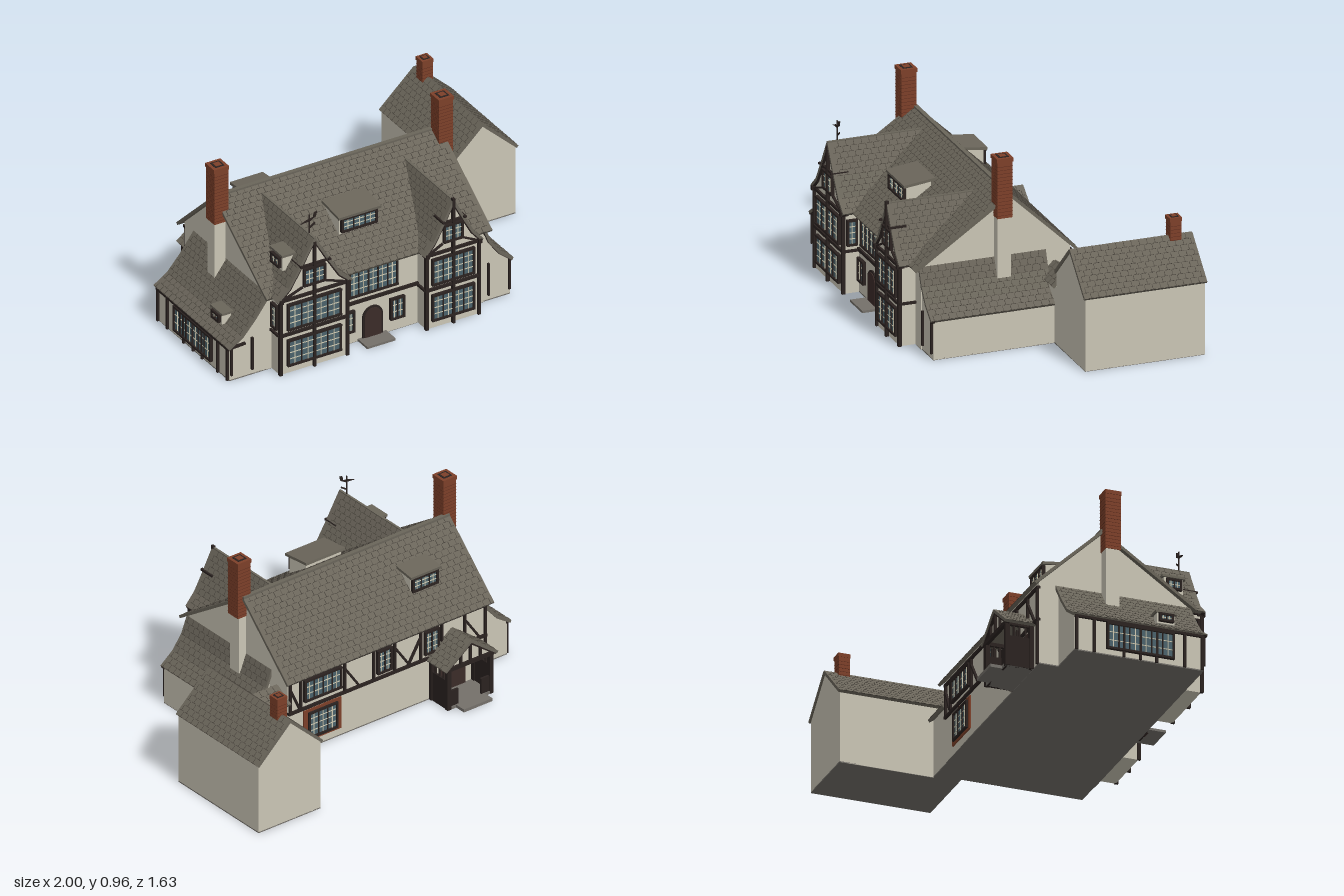
import * as THREE from 'three';
import { mergeGeometries } from 'three/addons/utils/BufferGeometryUtils.js';

const paint = (name, color) => { const m = new THREE.MeshStandardMaterial({ color }); m.name = name; return m; };

export function createModel() {
  const plaster = paint('plaster', 0xcac5b5), tile = paint('roof tile', 0x6a655a), joint = paint('tile joint', 0x4b463e);
  const timber = paint('dark timber', 0x2a2220), glass = paint('glass', 0x4a626b), bar = paint('glazing bar', 0xcdc8b0);
  const brick = paint('brick', 0x7d4029), brickDark = paint('dark brick', 0x5e2d1e), oak = paint('door oak', 0x3b2b28);
  const stone = paint('stone', 0x74706a);

  const house = new THREE.Group();
  house.name = 'house';
  house.rotation.y = 0.166;

  const add = (name, geo, mat, parent = house) => {
    const m = new THREE.Mesh(geo, mat);
    m.name = name;
    parent.add(m);
    return m;
  };
  const box = (name, mat, [x, y, z], [sx, sy, sz], parent = house) => {
    const m = add(name, new THREE.BoxGeometry(sx, sy, sz), mat, parent);
    m.position.set(x, y, z);
    return m;
  };
  // Extrude a section along z, or along x when axis is 'x' (section is then z,y)
  const orient = (geo, axis) => axis === 'x' ? geo.rotateY(Math.PI / 2) : geo;
  const prism = (pts, a, b, axis) => {
    const s = new THREE.Shape(pts.map(([p, y]) => new THREE.Vector2(axis === 'x' ? -p : p, y)));
    return orient(new THREE.ExtrudeGeometry(s, { depth: b - a, bevelEnabled: false }).translate(0, 0, a), axis);
  };

  // One roof slope, ridge to eave, with thin staggered lines between the tiles
  const slope = (name, pts, a, b, axis) => {
    const flip = axis === 'x' ? -1 : 1;
    const top = [], bottom = [], joints = [];
    let row = 0;
    for (let i = 0; i < pts.length - 1; i++) {
      const [x0, y0] = pts[i], [x1, y1] = pts[i + 1];
      const len = Math.hypot(x1 - x0, y1 - y0), dx = (x1 - x0) / len, dy = (y1 - y0) / len;
      const s = Math.sign(dx) || 1, nx = -dy * s, ny = dx * s;
      const n = Math.max(1, Math.round(len / 0.03)), step = len / n;
      const line = (d, length, width, t) => joints.push(orient(new THREE.BoxGeometry(length, 0.003, width)
        .rotateZ(Math.atan2(dy, dx * flip))
        .translate((x0 + dx * d + nx * 0.006) * flip, y0 + dy * d + ny * 0.006, t), axis));
      for (let k = 0; k < n; k++, row++) {
        for (let t = a + (row % 2 ? 0.02 : 0.04); t < b - 0.015; t += 0.04) {
          line((k + 0.5) * step, step, 0.0025, t);
          line((k + 0.96) * step, 0.003, 0.028, t);
        }
      }
      for (const [px, py] of i === pts.length - 2 ? [pts[i], pts[i + 1]] : [pts[i]]) {
        top.push([px + nx * 0.0065, py + ny * 0.0065]);
        bottom.push([px - nx * 0.008, py - ny * 0.008]);
      }
    }
    add(name, prism([...top, ...bottom.reverse()], a, b, axis), tile);
    add(name + ' joints', mergeGeometries(joints), joint);
  };

  // A wall plane on which timbers and windows are laid out in local x,y
  const face = (name, x, z, rot = 0) => {
    const g = new THREE.Group();
    g.name = name;
    g.position.set(x, 0, z);
    g.rotation.y = rot;
    house.add(g);
    return g;
  };
  const beam = (f, x0, y0, x1, y1, t = 0.012) => {
    const m = box('beam', timber, [(x0 + x1) / 2, (y0 + y1) / 2, 0.003], [Math.hypot(x1 - x0, y1 - y0), t, 0.018], f);
    m.rotation.z = Math.atan2(y1 - y0, x1 - x0);
  };
  const path = (f, pts, t) => pts.slice(1).forEach((p, i) => beam(f, ...pts[i], ...p, t));
  const windowAt = (f, x, y, w, h, lights = 2, rows = 3) => {
    const g = new THREE.Group();
    g.name = 'window';
    g.position.set(x, y, 0.004);
    f.add(g);
    box('pane', glass, [0, 0, 0], [w, h, 0.008], g);
    for (let i = 1; i < lights * 2; i++) {
      const main = i % 2 === 0;
      box('upright', main ? timber : bar, [-w / 2 + i * w / lights / 2, 0, 0.004], [main ? 0.006 : 0.004, h, main ? 0.012 : 0.006], g);
    }
    for (let i = 1; i < rows; i++) box('glazing bar', bar, [0, -h / 2 + i * h / rows, 0.004], [w, 0.004, 0.005], g);
    for (const s of [-1, 1]) {
      box('jamb', timber, [s * w / 2, 0, 0.003], [0.011, h + 0.011, 0.018], g);
      box('rail', timber, [0, s * h / 2, 0.003], [w + 0.011, 0.011, 0.02], g);
    }
  };

  // Main range
  add('main walls', prism([[0.6, 0], [0.6, 0.43], [0.15, 0.745], [-0.17, 0.44], [-0.17, 0]], -0.775, 0.445, 'x'), plaster);
  slope('front roof', [[0.15, 0.746], [0.64, 0.415]], -0.8, 0.47, 'x');
  slope('back roof', [[0.15, 0.746], [-0.2, 0.415]], -0.8, 0.47, 'x');
  box('ridge tiles', tile, [-0.165, 0.75, 0.15], [1.27, 0.012, 0.022]);

  // Dark undersides of the floors
  for (const [x0, x1, z0, z1] of [[-0.775, 0.445, -0.17, 0.6], [0.44, 0.597, -0.03, 0.597], [-0.985, -0.77, -0.07, 0.6],
    [0.625, 1.005, -0.65, -0.03], [0.44, 0.63, -0.165, -0.03]]) {
    box('floor underside', stone, [(x0 + x1) / 2, 0.001, (z0 + z1) / 2], [x1 - x0, 0.006, z1 - z0]);
  }

  // Front gabled bays
  const bay = (c, hw, apex, prof, wallHalf, attic, sideWindows) => {
    const wall = prof.filter(([p]) => p < wallHalf);
    const half = [...wall, [wallHalf, 0.43]];
    const outline = [[-wallHalf, 0], [wallHalf, 0], ...half.slice().reverse(), ...half.slice(1).map(([p, y]) => [-p, y])];
    add('bay walls', prism(outline.map(([p, y]) => [c + p, y - (y > 0.43 ? 0.003 : 0)]), 0.35, 0.68), plaster);
    const f = face('bay front', c, 0.68);
    for (const s of [-1, 1]) {
      slope('bay roof', prof.map(([p, y]) => [c + s * p, y]), apex, 0.693);
      path(f, prof.map(([p, y]) => [s * p * 0.98, y - 0.007]), 0.015);
      beam(f, s * wallHalf, 0, s * wallHalf, 0.43, 0.016);
      beam(f, s * (attic / 2 + 0.008), 0.46, s * wallHalf * 0.9, 0.422, 0.008);
      const side = face('bay side', c + s * wallHalf, 0.64, s * Math.PI / 2);
      if (sideWindows) windowAt(side, 0, 0.315, 0.045, 0.125, 1, 4);
      for (const y of [0.22, 0.415]) beam(side, -0.045, y, 0.045, y);
      box('eave corbel', timber, [c + s * wallHalf, 0.415, 0.68], [0.02, 0.022, 0.04]);
      box('purlin end', timber, [c + s * prof[1][0] * 0.92, 0.583, 0.66], [0.014, 0.01, 0.09]);
    }
    for (const y of [0.22, 0.415]) beam(f, -wallHalf, y, wallHalf, y, 0.015);
    beam(f, -prof[1][0] * 0.85, 0.575, prof[1][0] * 0.85, 0.575, 0.01);
    const w = wallHalf * 1.56;
    windowAt(f, 0, 0.115, w, 0.138, 4, 4);
    windowAt(f, 0, 0.315, w, 0.138, 4, 4);
    windowAt(f, 0, 0.512, attic, 0.09, 2, 3);
    box('centre post', timber, [0, 0.35, 0.01], [0.014, 0.7, 0.018], f);
    box('bay ridge', tile, [c, prof[0][1] + 0.003, (apex + 0.693) / 2], [0.012, 0.01, 0.693 - apex]);
  };
  bay(-0.56, 0.21, 0.2, [[0, 0.715], [0.085, 0.57], [0.145, 0.475], [0.21, 0.418]], 0.188, 0.115, true);
  bay(0.222, 0.165, 0.24, [[0, 0.685], [0.065, 0.56], [0.11, 0.48], [0.164, 0.418]], 0.147, 0.1, false);

  // Entrance front
  const front = face('entrance front', 0, 0.6);
  windowAt(front, -0.182, 0.335, 0.27, 0.145, 5, 4);
  for (const x of [-0.325, -0.045]) windowAt(front, x, 0.125, 0.07, 0.11, 2, 3);
  beam(front, -0.37, 0.225, 0.08, 0.225, 0.016);
  beam(front, -0.37, 0.412, 0.08, 0.412, 0.012);
  const arch = (r, h) => {
    const s = new THREE.Shape();
    s.moveTo(-r, 0).lineTo(r, 0).lineTo(r, h).absarc(0, h, r, 0, Math.PI, false);
    return new THREE.ExtrudeGeometry(s, { depth: 0.008, bevelEnabled: false, curveSegments: 10 });
  };
  add('door surround', arch(0.057, 0.122), timber, front).position.set(-0.183, 0, 0.002);
  add('front door', arch(0.047, 0.122), oak, front).position.set(-0.183, 0, 0.006);
  box('front step', stone, [-0.183, 0.006, 0.645], [0.16, 0.012, 0.09]);

  // Side wings with sweeping roofs
  const wing = (pts, inner, outer, z0, z1) => {
    const s = Math.sign(outer), last = pts[pts.length - 1];
    add('wing walls', prism([[inner, 0], [outer, 0], [outer, last[1] + 0.002],
      ...pts.slice(1, -1).reverse(), [inner, pts[0][1]]].map(([x, y]) => [x, y - (y ? 0.004 : 0)]), z0 + 0.015, z1 - 0.015), plaster);
    slope('wing roof', pts, z0, z1);
    const f = face('wing front', 0, z1 - 0.015);
    path(f, pts.map(([x, y]) => [x, y - 0.006]), 0.012);
    for (const [x, y, h] of [[outer - s * 0.008, 0.03, 0.2], [outer - s * 0.125, 0.03, 0.21]]) beam(f, x, y, x, h, 0.01);
    return f;
  };
  wing([[0.44, 0.425], [0.475, 0.335], [0.53, 0.26], [0.604, 0.2]], 0.42, 0.597, -0.045, 0.612);
  const westFront = wing([[-0.765, 0.43], [-0.85, 0.315], [-0.92, 0.235], [-0.997, 0.185]], -0.75, -0.985, -0.085, 0.615);
  beam(westFront, -0.985, 0.185, -0.9, 0.19, 0.012);
  const west = face('left wing side', -0.985, 0, -Math.PI / 2);
  windowAt(west, 0.27, 0.1, 0.34, 0.13, 6, 3);
  beam(west, -0.07, 0.178, 0.6, 0.178);
  for (const x of [-0.06, 0.03, 0.185, 0.27, 0.355, 0.5, 0.59]) beam(west, x, 0, x, 0.178);

  // Dormers
  const dormer = (x, z0, z1, w, y0, y1, rot) => {
    const back = rot !== 0, d = Math.abs(z1 - z0), zc = (z0 + z1) / 2;
    box('dormer walls', plaster, [x, (y0 + y1) / 2, zc], [w * 0.9, y1 - y0, d * 0.94]);
    const r = box('dormer roof', tile, [x, y1 + 0.006, zc], [w, 0.014, d + 0.03]);
    r.rotation.x = back ? -0.12 : 0.12;
    windowAt(face('dormer front', x, back ? z0 + d * 0.03 : z1 - d * 0.03, rot), 0, (y0 + y1) / 2 + 0.002, w * 0.8, (y1 - y0) * 0.68, 3, 3);
  };
  dormer(-0.182, 0.34, 0.475, 0.24, 0.54, 0.642, 0);
  dormer(-0.485, -0.058, 0.046, 0.185, 0.54, 0.64, Math.PI);
  const sideDormer = (x, y, z, w, h, d) => {
    box('side dormer', plaster, [x, y, z], [w, h, d]);
    box('side dormer roof', tile, [x, y + h / 2, z], [w + 0.015, 0.012, d + 0.02]);
    windowAt(face('side dormer front', x - w / 2, z, -Math.PI / 2), 0, y, d * 0.7, h * 0.55, 2, 2);
  };
  sideDormer(-0.66, 0.575, 0.56, 0.065, 0.085, 0.1);
  sideDormer(-0.92, 0.265, 0.42, 0.05, 0.06, 0.09);

  // Chimneys
  const chimney = (x, z, y0, y1, s) => {
    const g = new THREE.Group();
    g.name = 'chimney';
    g.position.set(x, 0, z);
    house.add(g);
    box('shaft', brick, [0, (y0 + y1) / 2, 0], [s, y1 - y0, s], g);
    for (let y = y0 + 0.015; y < y1 - 0.03; y += 0.018) box('brick course', brickDark, [0, y, 0], [s + 0.002, 0.002, s + 0.002], g);
    box('cap', brick, [0, y1 - 0.01, 0], [s * 1.08, 0.02, s * 1.08], g);
    box('flue', timber, [0, y1, 0], [s * 0.66, 0.004, s * 0.66], g);
    box('flue pot', brick, [0, y1 + 0.002, 0], [s * 0.42, 0.004, s * 0.42], g);
  };
  chimney(-0.805, 0.187, 0.64, 0.95, 0.078);
  chimney(0.46, 0.187, 0.64, 0.95, 0.078);
  chimney(0.814, -0.563, 0.53, 0.66, 0.058);
  for (const x of [-0.81, 0.46]) box('chimney breast', plaster, [x, 0.49, 0.187], [0.06, 0.32, 0.07]);

  // Outbuilding and link
  add('outbuilding walls', prism([[0.625, 0], [1.005, 0], [1.005, 0.378], [0.815, 0.558], [0.625, 0.378]], -0.65, -0.03), plaster);
  for (const s of [-1, 1]) slope('outbuilding roof', [[0.815, 0.56], [0.815 + s * 0.198, 0.375]], -0.658, -0.022);
  add('link walls', prism([[-0.03, 0], [-0.03, 0.3], [-0.09, 0.355], [-0.165, 0.3], [-0.165, 0]], 0.43, 0.64, 'x'), plaster);
  slope('link back roof', [[-0.09, 0.36], [-0.19, 0.295]], 0.44, 0.63, 'x');
  slope('link front roof', [[-0.09, 0.36], [-0.015, 0.295]], 0.44, 0.62, 'x');

  // Back wall (local x runs from the model's left to its right)
  const rear = face('back wall', 0, -0.17, Math.PI);
  for (const y of [0.235, 0.405]) beam(rear, -0.445, y, 0.775, y, 0.015);
  for (const x of [-0.435, -0.37, -0.1, 0.08, 0.21, 0.37, 0.5, 0.64, 0.765]) beam(rear, x, 0.235, x, 0.41);
  for (const [x, d] of [[-0.1, 0.09], [0.21, 0.09], [0.37, -0.08], [0.64, 0.09], [-0.435, 0.06]]) beam(rear, x, 0.37, x + d, 0.24, 0.01);
  beam(rear, 0.765, 0, 0.765, 0.24);
  windowAt(rear, -0.235, 0.33, 0.22, 0.11, 4, 3);
  windowAt(rear, 0.145, 0.325, 0.08, 0.12, 2, 4);
  windowAt(rear, 0.435, 0.325, 0.08, 0.12, 2, 4);
  box('brick surround', brick, [-0.235, 0.13, 0.002], [0.23, 0.175, 0.008], rear);
  windowAt(rear, -0.235, 0.13, 0.17, 0.135, 3, 4);

  // Rear porch
  for (const s of [-1, 1]) {
    slope('porch roof', [[-0.565, 0.345], [-0.565 + s * 0.16, 0.225]], -0.325, -0.16);
    for (const z of [-0.305, -0.18]) box('porch post', timber, [-0.565 + s * 0.13, 0.12, z], [0.022, 0.24, 0.022]);
    box('porch side', timber, [-0.565 + s * 0.13, 0.08, -0.24], [0.012, 0.16, 0.12]);
    box('porch rail', timber, [-0.565 + s * 0.13, 0.225, -0.24], [0.018, 0.018, 0.14]);
    box('porch low front', timber, [-0.565 + s * 0.1, 0.05, -0.305], [0.06, 0.1, 0.012]);
    for (const z of [-0.27, -0.24, -0.21]) box('porch baluster', timber, [-0.565 + s * 0.13, 0.19, z], [0.008, 0.07, 0.008]);
  }
  const porch = face('porch gable', -0.565, -0.308, Math.PI);
  add('porch gable panel', prism([[-0.14, 0.225], [0.14, 0.225], [0, 0.332]], -0.006, 0), plaster, porch);
  beam(porch, -0.14, 0.225, 0.14, 0.225, 0.02);
  path(porch, [[-0.155, 0.222], [0, 0.335], [0.155, 0.222]], 0.018);
  for (const x of [-0.06, 0, 0.06]) beam(porch, x, 0.225, x, 0.33 - Math.abs(x) * 0.75);
  box('porch floor', stone, [-0.565, 0.008, -0.24], [0.27, 0.016, 0.15]);
  box('porch step', stone, [-0.565, 0.008, -0.345], [0.175, 0.016, 0.06]);
  box('back door', oak, [-0.565, 0.11, -0.172], [0.16, 0.21, 0.008]);

  // Weathervane
  const vane = new THREE.Group();
  vane.name = 'weathervane';
  vane.position.set(-0.56, 0.71, 0.64);
  house.add(vane);
  box('pole', timber, [0, 0.055, 0], [0.005, 0.12, 0.005], vane);
  box('pointer', timber, [0.018, 0.052, 0], [0.035, 0.008, 0.005], vane).rotation.z = 0.6;
  const arrow = new THREE.Shape([[-0.05, 0.075], [-0.02, 0.088], [0.02, 0.096], [0.025, 0.12], [0.042, 0.125], [0.035, 0.098], [0.005, 0.08], [-0.03, 0.078]].map(([x, y]) => new THREE.Vector2(x, y)));
  add('vane plate', new THREE.ExtrudeGeometry(arrow, { depth: 0.005, bevelEnabled: false }), timber, vane);

  const model = new THREE.Group();
  model.name = 'model';
  model.add(house);
  return model;
}
